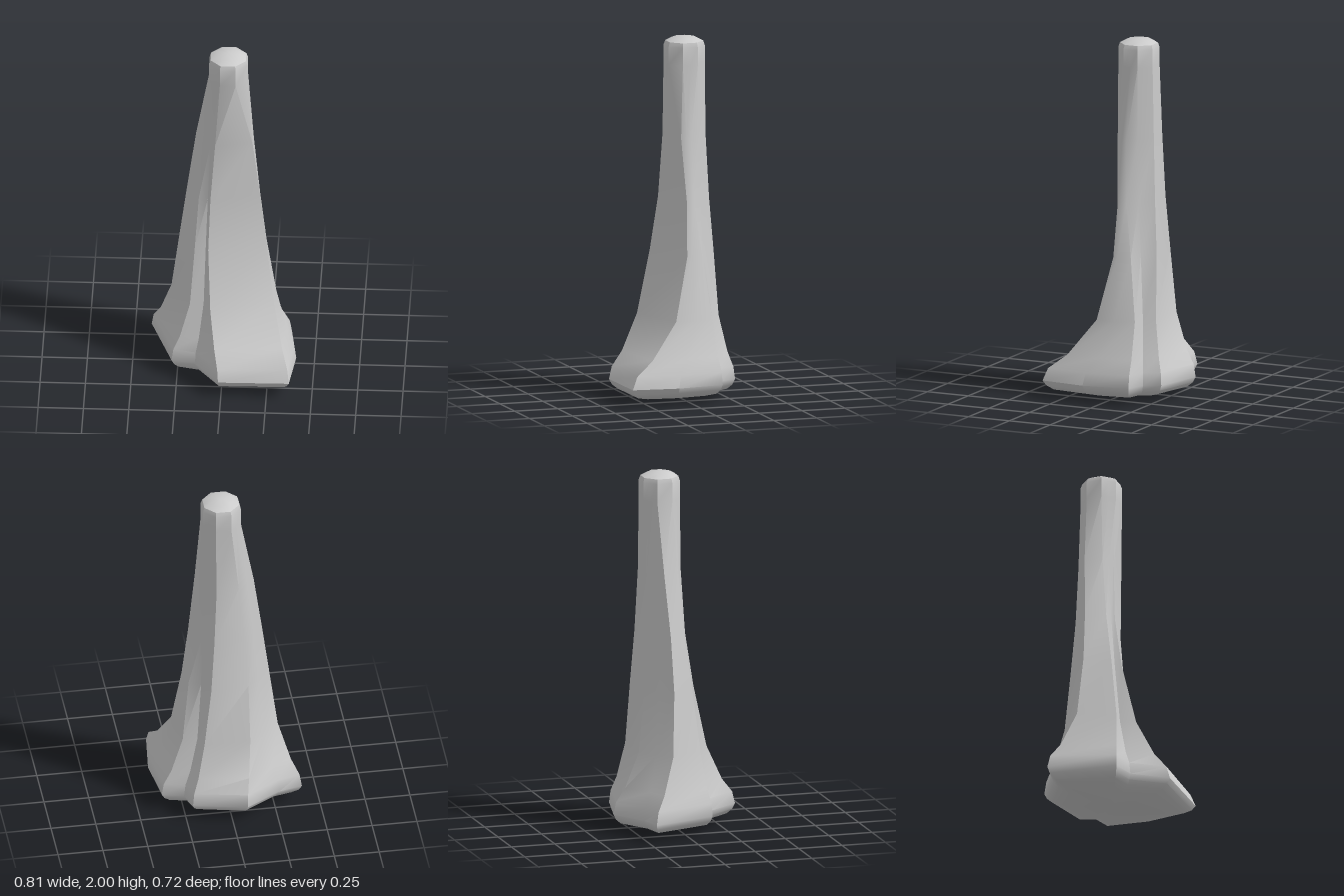
import * as THREE from 'three';
import { toCreasedNormals } from 'three/addons/utils/BufferGeometryUtils.js';

// Heights at which the ridges are described
const HEIGHTS = [0.1, 0.45, 0.8, 1.1, 1.45];

// Ridges, counterclockwise from above: where each meets the octagonal neck
// (corner number, halves lie mid-side), then x, z at each height
const RIDGES = [
  [0, -.015, .36, -.065, .18, -.08, .1, -.07, .055, -.045, .038],
  [1, .375, .355, .28, .07, .235, -.01, .2, -.02, .16, 0],
  [2, .405, .095, .29, -.04, .235, -.035, .2, -.04, .165, -.03],
  [2.5, .37, -.17, .25, -.15, .21, -.105, .185, -.065, .165, -.055],
  [3, .25, -.2, .17, -.16, .145, -.135, .14, -.12, .135, -.11],
  [4, .215, -.295, .14, -.225, .1, -.21, .08, -.19, .065, -.175],
  [5, -.08, -.36, -.115, -.225, -.11, -.19, -.09, -.17, -.06, -.165],
  [5.5, -.275, -.24, -.2, -.15, -.175, -.125, -.15, -.12, -.11, -.13],
  [6, -.405, -.21, -.29, -.08, -.245, -.06, -.205, -.067, -.155, -.09],
  [7, -.28, .15, -.18, .11, -.155, .07, -.135, .03, -.115, 0],
  [7.5, -.15, .18, -.105, .1, -.095, .065, -.085, .04, -.07, .02],
];

const FOOT_CENTRE = new THREE.Vector3(0.02, 0, -0.01);
const NECK_CENTRE = new THREE.Vector3(0.025, 0, -0.064);
const NECK_RADIUS = 0.114;

function shaftRing(y, level) {
  return RIDGES.map((r) => new THREE.Vector3(r[level * 2 + 1], y, r[level * 2 + 2]));
}

function neckCorner(k, y) {
  const angle = (k - 0.5) * Math.PI / 4;
  return new THREE.Vector3(Math.sin(angle), 0, Math.cos(angle))
    .multiplyScalar(NECK_RADIUS).add(NECK_CENTRE).setY(y);
}

// Octagon whose mid-side points sit on the straight sides
function neckRing(y) {
  return RIDGES.map(([k]) => neckCorner(Math.floor(k), y).lerp(neckCorner(Math.ceil(k), y), 0.5));
}

function scaledRing(points, centre, scale, y) {
  return points.map((p) => p.clone().sub(centre).multiplyScalar(scale).add(centre).setY(y));
}

function blendedRing(a, b, t, y) {
  return a.map((p, i) => p.clone().lerp(b[i], t).setY(y));
}

// Skins a stack of rings and closes both ends with fans
function loft(rings, bottom, top) {
  const n = rings[0].length;
  const last = rings[rings.length - 1];
  const positions = [];
  const tri = (...pts) => pts.forEach((p) => positions.push(p.x, p.y, p.z));
  for (let i = 0; i < n; i++) {
    const j = (i + 1) % n;
    for (let k = 0; k < rings.length - 1; k++) {
      const lo = rings[k], hi = rings[k + 1];
      tri(lo[i], lo[j], hi[j]);
      tri(lo[i], hi[j], hi[i]);
    }
    tri(rings[0][j], rings[0][i], bottom);
    tri(last[i], last[j], top);
  }
  const geometry = new THREE.BufferGeometry();
  geometry.setAttribute('position', new THREE.Float32BufferAttribute(positions, 3));
  return toCreasedNormals(geometry, 0.7);
}

export function createModel() {
  const group = new THREE.Group();
  group.name = 'twistedColumn';

  const [foot, ankle, ...shaft] = HEIGHTS.map(shaftRing);
  const neck = neckRing(1.95);
  const rings = [
    // rounded underside
    scaledRing(foot, FOOT_CENTRE, 0.64, 0.022),
    scaledRing(foot, FOOT_CENTRE, 0.87, 0.045),
    scaledRing(foot, FOOT_CENTRE, 0.955, 0.07),
    foot,
    // flare of the foot
    blendedRing(foot, ankle, 0.1, 0.17),
    blendedRing(foot, ankle, 0.46, 0.25),
    ankle,
    // twisting shaft, ending in the neck
    ...shaft,
    neckRing(1.85),
    neck,
    // domed tip
    scaledRing(neck, NECK_CENTRE, 0.92, 1.975),
    scaledRing(neck, NECK_CENTRE, 0.6, 1.994),
  ];

  const column = new THREE.Mesh(
    loft(rings, FOOT_CENTRE, NECK_CENTRE.clone().setY(2)),
    new THREE.MeshStandardMaterial({ color: 0xcccccc }),
  );
  column.name = 'column';
  group.add(column);
  return group;
}
